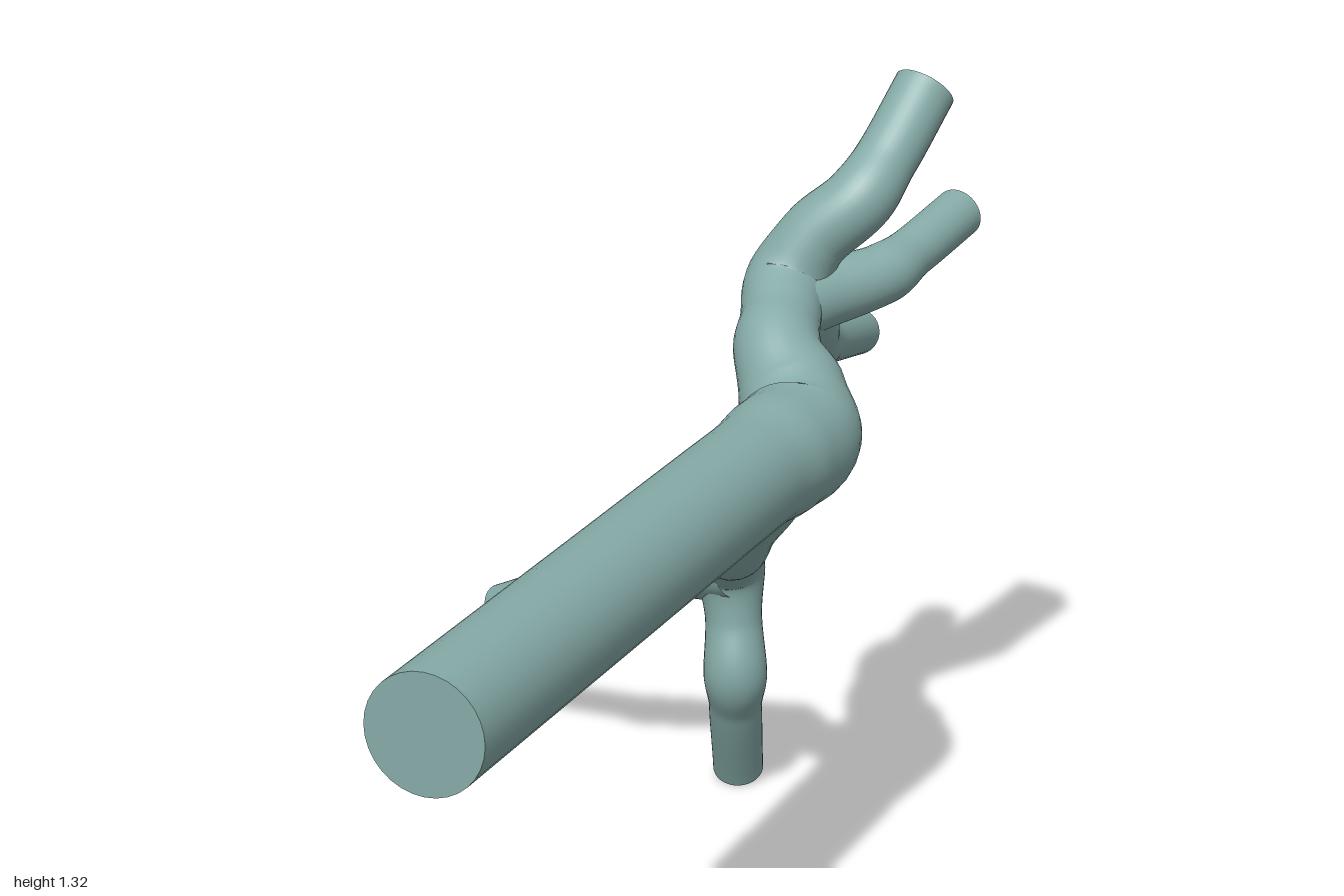
import * as THREE from 'three';

const SIDES = 32;
const material = new THREE.MeshStandardMaterial({ color: 0x86aba8, side: THREE.DoubleSide });

// Round tube through knots [x, y, z, radius]; ends are flat, or hollowed by `recess`.
function limb(name, knots, { steps = 48, startCap = false, recess = 0 } = {}) {
  const curve = new THREE.CatmullRomCurve3(knots.map(k => new THREE.Vector3(k[0], k[1], k[2])));
  const frames = curve.computeFrenetFrames(steps);
  const positions = [], index = [];

  const radiusAt = t => {
    const s = t * (knots.length - 1);
    const i = Math.min(Math.floor(s), knots.length - 2);
    return THREE.MathUtils.lerp(knots[i][3], knots[i + 1][3], THREE.MathUtils.smoothstep(s - i, 0, 1));
  };
  const addRing = i => {
    const t = curve.getUtoTmapping(i / steps);
    const centre = curve.getPoint(t), r = radiusAt(t);
    for (let j = 0; j < SIDES; j++) {
      const a = (j / SIDES) * Math.PI * 2;
      const p = centre.clone()
        .addScaledVector(frames.normals[i], r * Math.cos(a))
        .addScaledVector(frames.binormals[i], r * Math.sin(a));
      positions.push(p.x, p.y, p.z);
    }
    return centre;
  };

  // Wall
  for (let i = 0; i <= steps; i++) addRing(i);
  for (let i = 0; i < steps; i++) {
    for (let j = 0; j < SIDES; j++) {
      const k = (j + 1) % SIDES;
      const a = i * SIDES + j, b = i * SIDES + k;
      index.push(a, b, b + SIDES, a, b + SIDES, a + SIDES);
    }
  }

  // Caps have their own ring so the rim stays sharp
  const addCap = (i, atStart) => {
    const base = positions.length / 3;
    const centre = addRing(i).addScaledVector(frames.tangents[i], atStart ? recess : -recess);
    positions.push(centre.x, centre.y, centre.z);
    for (let j = 0; j < SIDES; j++) {
      const a = base + j, b = base + (j + 1) % SIDES;
      index.push(base + SIDES, atStart ? b : a, atStart ? a : b);
    }
  };
  addCap(steps, false);
  if (startCap) addCap(0, true);

  const geometry = new THREE.BufferGeometry();
  geometry.setAttribute('position', new THREE.Float32BufferAttribute(positions, 3));
  geometry.setIndex(index);
  geometry.computeVertexNormals();
  const mesh = new THREE.Mesh(geometry, material);
  mesh.name = name;
  return mesh;
}

export function createModel() {
  const group = new THREE.Group();
  group.name = 'branchingTube';

  group.add(
    // Straight trunk, elbow and the upper limb in one run
    limb('trunkAndUpperBranch', [
      [0.32, 0.84, 1, 0.092], [0.32, 0.84, 0.4, 0.092], [0.32, 0.84, -0.12, 0.092],
      [0.322, 0.84, -0.23, 0.1], [0.318, 0.843, -0.33, 0.103], [0.283, 0.888, -0.39, 0.088],
      [0.24, 0.94, -0.43, 0.072], [0.215, 0.97, -0.5, 0.066], [0.195, 1.01, -0.575, 0.07],
      [0.23, 1.085, -0.6, 0.06], [0.295, 1.15, -0.63, 0.058], [0.32, 1.21, -0.69, 0.052],
      [0.346, 1.305, -0.785, 0.052],
    ], { steps: 160, startCap: true }),

    // Two rear twigs leaving the upper fork
    limb('rearLeftBranch', [
      [0.205, 0.98, -0.53, 0.06], [0.255, 0.99, -0.625, 0.056],
      [0.31, 1.003, -0.71, 0.051], [0.33, 1.02, -0.79, 0.043], [0.355, 1.05, -0.943, 0.043],
    ]),
    limb('rearLowBranch', [
      [0.212, 0.98, -0.53, 0.06], [0.2, 0.925, -0.64, 0.056],
      [0.183, 0.862, -0.73, 0.047], [0.176, 0.842, -0.8, 0.041], [0.16, 0.797, -0.99, 0.04],
    ]),

    // Descending limb, continuing into the lower leg
    limb('lowerBranch', [
      [0.32, 0.845, -0.31, 0.095], [0.285, 0.785, -0.365, 0.082], [0.225, 0.7, -0.425, 0.066],
      [0.16, 0.61, -0.49, 0.06], [0.118, 0.55, -0.55, 0.062], [0.082, 0.51, -0.62, 0.06],
      [0.062, 0.455, -0.672, 0.06], [0.07, 0.36, -0.672, 0.049], [0.08, 0.265, -0.66, 0.055],
      [0.069, 0.19, -0.69, 0.046], [0.045, 0.04, -0.765, 0.044],
    ], { steps: 110, recess: 0.025 }),

    // Side twig from the lower fork
    limb('lowerSideBranch', [
      [0.075, 0.465, -0.66, 0.06], [0.015, 0.445, -0.675, 0.057], [-0.06, 0.432, -0.668, 0.047],
      [-0.175, 0.4, -0.658, 0.05], [-0.245, 0.362, -0.685, 0.041], [-0.413, 0.27, -0.755, 0.039],
    ], { steps: 64, recess: 0.025 }),
  );

  return group;
}
